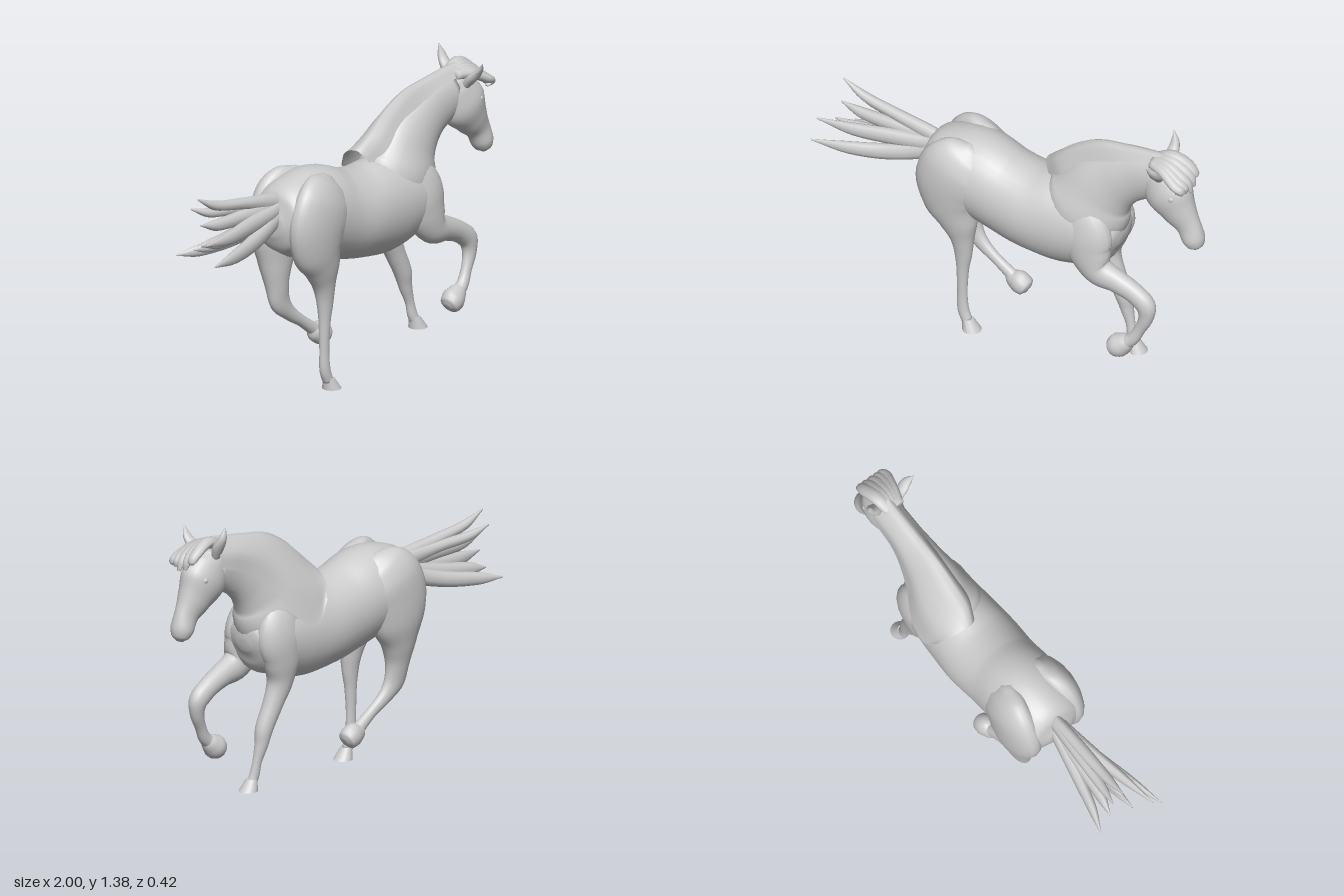
import * as THREE from 'three';

const material = new THREE.MeshStandardMaterial({ color: 0xcccccc, side: THREE.DoubleSide });
const v3 = (x, y, z) => new THREE.Vector3(x, y, z);

function addMesh(parent, name, geometry) {
  const mesh = new THREE.Mesh(geometry, material);
  mesh.name = name;
  parent.add(mesh);
  return mesh;
}

function buildGeometry(positions, index) {
  const g = new THREE.BufferGeometry();
  g.setAttribute('position', new THREE.Float32BufferAttribute(positions, 3));
  g.setIndex(index);
  g.computeVertexNormals();
  return g;
}

// Smooth capped loft; each section is [x, y, z, radius in the side plane, radius across]
function loft(sections, sides = 20, stepsPer = 5) {
  const path = new THREE.CatmullRomCurve3(sections.map(s => v3(s[0], s[1], s[2])));
  const size = new THREE.CatmullRomCurve3(sections.map(s => v3(s[3], s[4], 0)), false, 'catmullrom', 0.4);
  const n = (sections.length - 1) * stepsPer;
  const pos = [], idx = [];
  for (let i = 0; i <= n; i++) {
    const c = path.getPoint(i / n), t = path.getTangent(i / n), s = size.getPoint(i / n);
    const len = Math.hypot(t.x, t.y) || 1;
    const r = Math.max(s.x, 0.002), w = Math.max(s.y, 0.002);
    for (let j = 0; j < sides; j++) {
      const a = (j / sides) * Math.PI * 2, ca = Math.cos(a) * r;
      pos.push(c.x - (t.y / len) * ca, c.y + (t.x / len) * ca, c.z + Math.sin(a) * w);
    }
  }
  for (let i = 0; i < n; i++) for (let j = 0; j < sides; j++) {
    const a = i * sides + j, b = i * sides + (j + 1) % sides;
    idx.push(a, b, a + sides, b, b + sides, a + sides);
  }
  const first = sections[0], last = sections[sections.length - 1], k = pos.length / 3;
  pos.push(first[0], first[1], first[2], last[0], last[1], last[2]);
  for (let j = 0; j < sides; j++) {
    const m = (j + 1) % sides;
    idx.push(k, m, j, k + 1, n * sides + j, n * sides + m);
  }
  return buildGeometry(pos, idx);
}

// Smooth sheet through rows of control points
function sheet(rows, nu = 30, nv = 12) {
  const curves = rows.map(r => new THREE.CatmullRomCurve3(r.map(p => v3(...p))));
  const pos = [], idx = [];
  for (let j = 0; j <= nv; j++) {
    const across = new THREE.CatmullRomCurve3(curves.map(c => c.getPoint(j / nv)));
    for (let i = 0; i <= nu; i++) pos.push(...across.getPoint(i / nu).toArray());
  }
  for (let j = 0; j < nv; j++) for (let i = 0; i < nu; i++) {
    const a = j * (nu + 1) + i, b = a + nu + 1;
    idx.push(a, a + 1, b, a + 1, b + 1, b);
  }
  return buildGeometry(pos, idx);
}

// Flat-soled hoof sloping forward
function plantedHoof(x, y, z) {
  const g = new THREE.CylinderGeometry(0.026, 0.045, 0.055, 18, 3);
  const p = g.attributes.position;
  for (let i = 0; i < p.count; i++) p.setX(i, p.getX(i) - p.getY(i) * 0.4);
  g.translate(x, y + 0.0275, z);
  g.computeVertexNormals();
  return g;
}

export function createModel() {
  const horse = new THREE.Group();
  horse.name = 'horse';

  // Barrel, rump and chest
  addMesh(horse, 'torso', loft([
    [-0.46, 0.83, 0, 0.05, 0.06], [-0.425, 0.83, 0, 0.135, 0.145], [-0.35, 0.835, 0, 0.185, 0.18],
    [-0.2, 0.835, 0, 0.215, 0.192], [-0.05, 0.79, 0, 0.21, 0.19], [0.1, 0.76, 0, 0.215, 0.197],
    [0.25, 0.758, 0, 0.228, 0.188], [0.4, 0.765, 0, 0.205, 0.175], [0.5, 0.755, 0, 0.16, 0.155],
    [0.55, 0.75, 0, 0.1, 0.115], [0.572, 0.745, 0, 0.03, 0.04]], 32));

  addMesh(horse, 'neck', loft([
    [0.3, 0.78, 0, 0.19, 0.15], [0.385, 0.88, 0, 0.21, 0.155], [0.455, 1.0, 0, 0.175, 0.115],
    [0.555, 1.09, 0, 0.138, 0.085], [0.65, 1.14, 0, 0.122, 0.07], [0.76, 1.175, 0, 0.11, 0.066]], 28));

  // Head with cheeks, tapering to the muzzle
  const head = new THREE.Group();
  head.name = 'head';
  horse.add(head);
  addMesh(head, 'skull', loft([
    [0.755, 1.24, 0.005, 0.05, 0.045], [0.775, 1.19, 0.005, 0.1, 0.07], [0.82, 1.11, 0.008, 0.125, 0.086],
    [0.875, 1.03, 0.01, 0.09, 0.068], [0.922, 0.965, 0.01, 0.064, 0.05], [0.948, 0.905, 0.01, 0.056, 0.053],
    [0.958, 0.87, 0.01, 0.042, 0.042], [0.962, 0.85, 0.01, 0.015, 0.016]], 24));
  for (const s of [1, -1]) {
    const eye = addMesh(head, 'eye', new THREE.SphereGeometry(0.016, 12, 8));
    eye.position.set(0.868, 1.135, 0.008 + s * 0.065);
  }
  addMesh(head, 'leftEar', loft([[0.79, 1.2, 0.05, 0.02, 0.02], [0.795, 1.25, 0.09, 0.03, 0.028],
    [0.8, 1.29, 0.125, 0.024, 0.02], [0.79, 1.335, 0.16, 0.003, 0.003]], 12));
  addMesh(head, 'rightEar', loft([[0.785, 1.22, -0.04, 0.02, 0.02], [0.79, 1.28, -0.065, 0.03, 0.028],
    [0.79, 1.325, -0.09, 0.022, 0.02], [0.78, 1.38, -0.1, 0.003, 0.003]], 12));

  // Forelock lying flat on the brow, swept towards the left
  for (const [z, x, y] of [[-0.035, 0.925, 1.22], [-0.005, 0.945, 1.19], [0.03, 0.95, 1.18], [0.06, 0.94, 1.19], [0.085, 0.9, 1.19]]) {
    addMesh(head, 'forelock', loft([[0.74, 1.27, z * 0.4, 0.025, 0.03],
      [0.82, 1.29 - z * 0.3, z * 0.7, 0.025, 0.034], [0.895, 1.258 - z * 0.35, z, 0.022, 0.032],
      [0.93, 1.225 - z * 0.2, z, 0.018, 0.024], [x, y, z, 0.005, 0.01]], 10));
  }

  // Mane folding over the crest and falling down the right side
  addMesh(horse, 'mane', sheet([
    [[0.21, 0.93, 0.04], [0.15, 1.03, -0.02], [0.17, 1.0, -0.12], [0.21, 0.92, -0.18]],
    [[0.29, 1.0, 0.07], [0.21, 1.095, 0], [0.24, 1.0, -0.14], [0.29, 0.82, -0.2]],
    [[0.37, 1.07, 0.065], [0.3, 1.18, 0], [0.35, 1.05, -0.135], [0.39, 0.87, -0.18]],
    [[0.48, 1.17, 0.05], [0.43, 1.255, 0], [0.47, 1.15, -0.1], [0.5, 1.01, -0.125]],
    [[0.61, 1.23, 0.045], [0.58, 1.285, 0], [0.61, 1.22, -0.08], [0.63, 1.12, -0.09]],
    [[0.77, 1.26, 0.045], [0.78, 1.315, 0], [0.79, 1.25, -0.07], [0.78, 1.18, -0.085]]]));

  // Tail streaming back in tapered locks: [tip x, y, z, middle height, thickness]
  const locks = [[-0.93, 1.06, -0.02, 0.975, 0.028], [-0.92, 1.0, -0.07, 0.95, 0.028], [-0.93, 0.94, 0, 0.915, 0.036],
    [-1.0, 0.88, 0.1, 0.88, 0.042], [-0.95, 0.85, 0.02, 0.85, 0.042], [-1.0, 0.79, 0.15, 0.805, 0.042],
    [-0.93, 0.765, -0.15, 0.8, 0.038], [-0.9, 0.8, -0.07, 0.83, 0.04]];
  const tail = new THREE.Group();
  tail.name = 'tail';
  horse.add(tail);
  for (const [x, y, z, my, r] of locks) {
    addMesh(tail, 'tailLock', loft([[-0.37, 0.92, 0, 0.045, 0.03], [-0.47, (0.91 + my) / 2, z * 0.15, 0.042, 0.03],
      [-0.64, my, z * 0.4, r, 0.029], [-0.82, (my + y) / 2 - 0.01, z * 0.72, r * 0.8, 0.022],
      [x, y, z, 0.004, 0.003]], 10));
  }

  // Hind legs: left planted, right lifted
  const thigh = s => [[-0.17, 1.02, s * 0.085, 0.03, 0.02], [-0.195, 0.98, s * 0.105, 0.125, 0.06],
    [-0.235, 0.91, s * 0.122, 0.172, 0.08], [-0.275, 0.82, s * 0.126, 0.178, 0.083]];
  addMesh(horse, 'leftHindLeg', loft([...thigh(1),
    [-0.275, 0.71, 0.12, 0.153, 0.08], [-0.24, 0.6, 0.115, 0.1, 0.065], [-0.22, 0.5, 0.11, 0.058, 0.046],
    [-0.215, 0.42, 0.11, 0.043, 0.034], [-0.218, 0.33, 0.11, 0.03, 0.026], [-0.22, 0.2, 0.11, 0.025, 0.021],
    [-0.215, 0.1, 0.11, 0.028, 0.023], [-0.195, 0.045, 0.11, 0.026, 0.024]]));
  addMesh(horse, 'leftHindHoof', plantedHoof(-0.18, 0.003, 0.11));
  addMesh(horse, 'rightHindLeg', loft([...thigh(-1),
    [-0.29, 0.7, -0.125, 0.152, 0.08], [-0.305, 0.58, -0.115, 0.092, 0.065], [-0.305, 0.48, -0.105, 0.062, 0.048],
    [-0.29, 0.4, -0.1, 0.056, 0.036], [-0.235, 0.335, -0.095, 0.036, 0.028], [-0.16, 0.28, -0.09, 0.027, 0.023],
    [-0.09, 0.23, -0.09, 0.03, 0.026], [-0.05, 0.2, -0.09, 0.035, 0.035]]));
  addMesh(horse, 'rightHindHoof', loft([[-0.095, 0.228, -0.09, 0.02, 0.02], [-0.07, 0.21, -0.09, 0.046, 0.036],
    [-0.035, 0.195, -0.09, 0.056, 0.048], [0, 0.177, -0.09, 0.046, 0.044], [0.012, 0.17, -0.09, 0.02, 0.02]], 16));

  // Forelegs: left folded and raised, right reaching down
  const shoulder = s => [[0.33, 0.95, s * 0.065, 0.04, 0.03], [0.375, 0.88, s * 0.085, 0.12, 0.062],
    [0.43, 0.79, s * 0.1, 0.135, 0.076]];
  addMesh(horse, 'leftForeleg', loft([...shoulder(1), [0.455, 0.7, 0.11, 0.115, 0.07],
    [0.505, 0.615, 0.115, 0.08, 0.06], [0.6, 0.583, 0.11, 0.058, 0.05], [0.69, 0.545, 0.105, 0.051, 0.044],
    [0.75, 0.497, 0.105, 0.05, 0.041], [0.756, 0.435, 0.11, 0.036, 0.032], [0.727, 0.36, 0.118, 0.027, 0.025],
    [0.695, 0.3, 0.125, 0.03, 0.028], [0.65, 0.26, 0.13, 0.035, 0.035]]));
  addMesh(horse, 'leftForeHoof', loft([[0.69, 0.295, 0.125, 0.02, 0.02], [0.66, 0.268, 0.127, 0.044, 0.042],
    [0.625, 0.24, 0.13, 0.057, 0.054], [0.595, 0.22, 0.132, 0.046, 0.046], [0.583, 0.212, 0.132, 0.018, 0.02]], 16));
  addMesh(horse, 'rightForeleg', loft([...shoulder(-1), [0.425, 0.67, -0.105, 0.105, 0.066],
    [0.43, 0.56, -0.095, 0.066, 0.056], [0.47, 0.46, -0.09, 0.05, 0.046], [0.52, 0.35, -0.085, 0.044, 0.04],
    [0.537, 0.28, -0.085, 0.033, 0.031], [0.56, 0.2, -0.08, 0.023, 0.021], [0.572, 0.14, -0.075, 0.025, 0.022],
    [0.585, 0.105, -0.07, 0.025, 0.024]]));
  addMesh(horse, 'rightForeHoof', plantedHoof(0.595, 0.07, -0.07));

  return horse;
}
